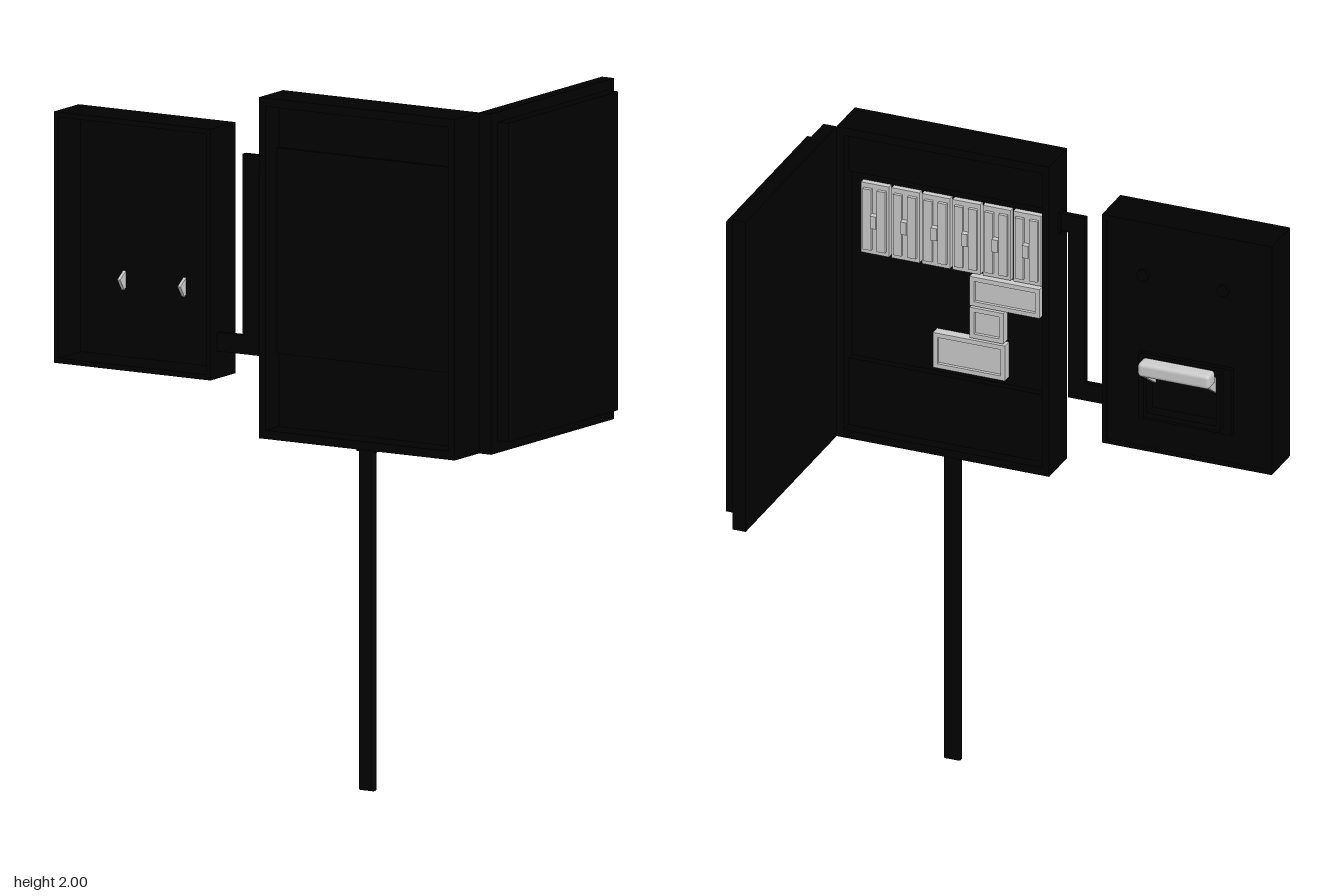
import * as THREE from 'three';
import { RoundedBoxGeometry } from 'three/addons/geometries/RoundedBoxGeometry.js';

const black = new THREE.MeshStandardMaterial({ color: 0x010101 });
const grey = new THREE.MeshStandardMaterial({ color: 0xcccccc });

// Box given by its limits on each axis
function box(parent, name, [x0, x1], [y0, y1], [z0, z1], mat = black) {
  const m = new THREE.Mesh(new THREE.BoxGeometry(x1 - x0, y1 - y0, z1 - z0), mat);
  m.position.set((x0 + x1) / 2, (y0 + y1) / 2, (z0 + z1) / 2);
  m.name = name;
  parent.add(m);
}

function rectPath(path, [x0, x1], [y0, y1]) {
  path.moveTo(x0, y0);
  path.lineTo(x1, y0);
  path.lineTo(x1, y1);
  path.lineTo(x0, y1);
  path.closePath();
  return path;
}

// Rectangular ring, extruded along z
function frame(parent, name, x, y, z, inX, inY, mat = black) {
  const shape = rectPath(new THREE.Shape(), x, y);
  shape.holes.push(rectPath(new THREE.Path(), inX, inY));
  const m = new THREE.Mesh(
    new THREE.ExtrudeGeometry(shape, { depth: z[1] - z[0], bevelEnabled: false }), mat);
  m.position.z = z[0];
  m.name = name;
  parent.add(m);
}

function group(parent, name) {
  const g = new THREE.Group();
  g.name = name;
  parent.add(g);
  return g;
}

// Light housing with a raised rim around its face
function device(parent, name, x, y) {
  const rim = 0.014;
  box(parent, name, x, y, [0.303, 0.325], grey);
  frame(parent, name + 'Rim', x, y, [0.293, 0.303],
    [x[0] + rim, x[1] - rim], [y[0] + rim, y[1] - rim], grey);
}

export function createModel() {
  const model = new THREE.Group();
  model.name = 'electricalCabinet';

  // Cabinet shell with an inner cover and the mounting plate behind its window
  const cabinet = group(model, 'cabinet');
  const innerX = [0.003, 0.62];
  frame(cabinet, 'cabinetWalls', [-0.02, 0.643], [1.005, 2], [0.265, 0.397], innerX, [1.03, 1.975]);
  box(cabinet, 'upperCover', innerX, [1.845, 1.975], [0.3, 0.325]);
  box(cabinet, 'lowerCover', innerX, [1.03, 1.245], [0.3, 0.325]);
  box(cabinet, 'mountingPlate', innerX, [1.245, 1.845], [0.323, 0.335]);

  // Row of breakers: tall body, two narrow strips and a toggle
  const pitch = 0.095;
  for (let i = 0; i < 6; i++) {
    const x = 0.022 + i * pitch;
    const b = group(cabinet, 'breaker');
    box(b, 'breakerBody', [x, x + pitch - 0.008], [1.59, 1.815], [0.305, 0.325], grey);
    box(b, 'breakerFace', [x + 0.008, x + 0.034], [1.605, 1.8], [0.295, 0.305], grey);
    box(b, 'breakerFace', [x + 0.052, x + 0.078], [1.605, 1.8], [0.295, 0.305], grey);
    box(b, 'breakerToggle', [x + 0.034, x + 0.052], [1.68, 1.72], [0.287, 0.305], grey);
  }
  device(cabinet, 'upperModule', [0.022, 0.24], [1.492, 1.585]);
  device(cabinet, 'relay', [0.135, 0.24], [1.388, 1.486]);
  device(cabinet, 'lowerModule', [0.13, 0.355], [1.27, 1.382]);

  // Door swung open by a right angle
  const door = group(model, 'door');
  box(door, 'doorPanel', [0.643, 0.684], [1.005, 2], [-0.4, 0.265]);
  box(door, 'doorRaisedFace', [0.684, 0.72], [1.04, 1.97], [-0.365, 0.23]);

  // Flat post below the cabinet
  const post = new THREE.Mesh(new RoundedBoxGeometry(0.054, 1.005, 0.017, 2, 0.006), black);
  post.position.set(0.311, 0.5025, 0.337);
  post.name = 'post';
  model.add(post);
  box(model, 'postCollar', [0.28, 0.342], [0.99, 1.005], [0.326, 0.348]);

  // Stepped conduit between the two boxes
  const s = new THREE.Shape([
    [-0.19, 1.235], [-0.05, 1.235], [-0.05, 1.765], [-0.02, 1.765],
    [-0.02, 1.82], [-0.103, 1.82], [-0.103, 1.29], [-0.19, 1.29],
  ].map(([x, y]) => new THREE.Vector2(x, y)));
  const conduit = new THREE.Mesh(
    new THREE.ExtrudeGeometry(s, { depth: 0.018, bevelEnabled: false }), black);
  conduit.position.z = 0.333;
  conduit.name = 'conduit';
  model.add(conduit);
  box(model, 'conduitCollar', [-0.03, -0.02], [1.758, 1.825], [0.329, 0.355]);

  // Switch box: walls and face plate, hollow on the other side
  const sw = group(model, 'switchBox');
  frame(sw, 'switchBoxWalls', [-0.72, -0.19], [1.155, 1.888], [0.252, 0.387], [-0.705, -0.205], [1.17, 1.873]);
  box(sw, 'switchBoxFace', [-0.706, -0.204], [1.169, 1.874], [0.253, 0.265]);

  // Stepped hood around the lever slot
  const slotX = [-0.563, -0.347], slotY = [1.3, 1.455];
  frame(sw, 'switchHoodLower', [-0.6, -0.31], [1.265, 1.475], [0.237, 0.253], slotX, slotY);
  frame(sw, 'switchHoodUpper', [-0.575, -0.335], [1.285, 1.465], [0.212, 0.237], slotX, slotY);
  for (const x of [-0.57, -0.32]) {
    const knob = new THREE.Mesh(new THREE.CylinderGeometry(0.018, 0.018, 0.012, 16), black);
    knob.rotation.x = Math.PI / 2;
    knob.position.set(x, 1.72, 0.248);
    knob.name = 'coverScrew';
    sw.add(knob);
  }

  // Lever: grip on two arms that run through the face plate
  const lever = group(sw, 'lever');
  const grip = new THREE.Mesh(new RoundedBoxGeometry(0.225, 0.045, 0.05, 3, 0.012), grey);
  grip.position.set(-0.455, 1.465, 0.175);
  grip.name = 'leverGrip';
  lever.add(grip);
  const from = new THREE.Vector3(0, 1.455, 0.18), to = new THREE.Vector3(0, 1.382, 0.285);
  for (const x of [-0.557, -0.353]) {
    const arm = new THREE.Mesh(new THREE.BoxGeometry(0.01, 0.04, from.distanceTo(to)), grey);
    arm.position.addVectors(from, to).multiplyScalar(0.5).setX(x);
    arm.rotation.x = Math.atan2(from.y - to.y, to.z - from.z);
    arm.name = 'leverArm';
    lever.add(arm);
  }
  return model;
}
